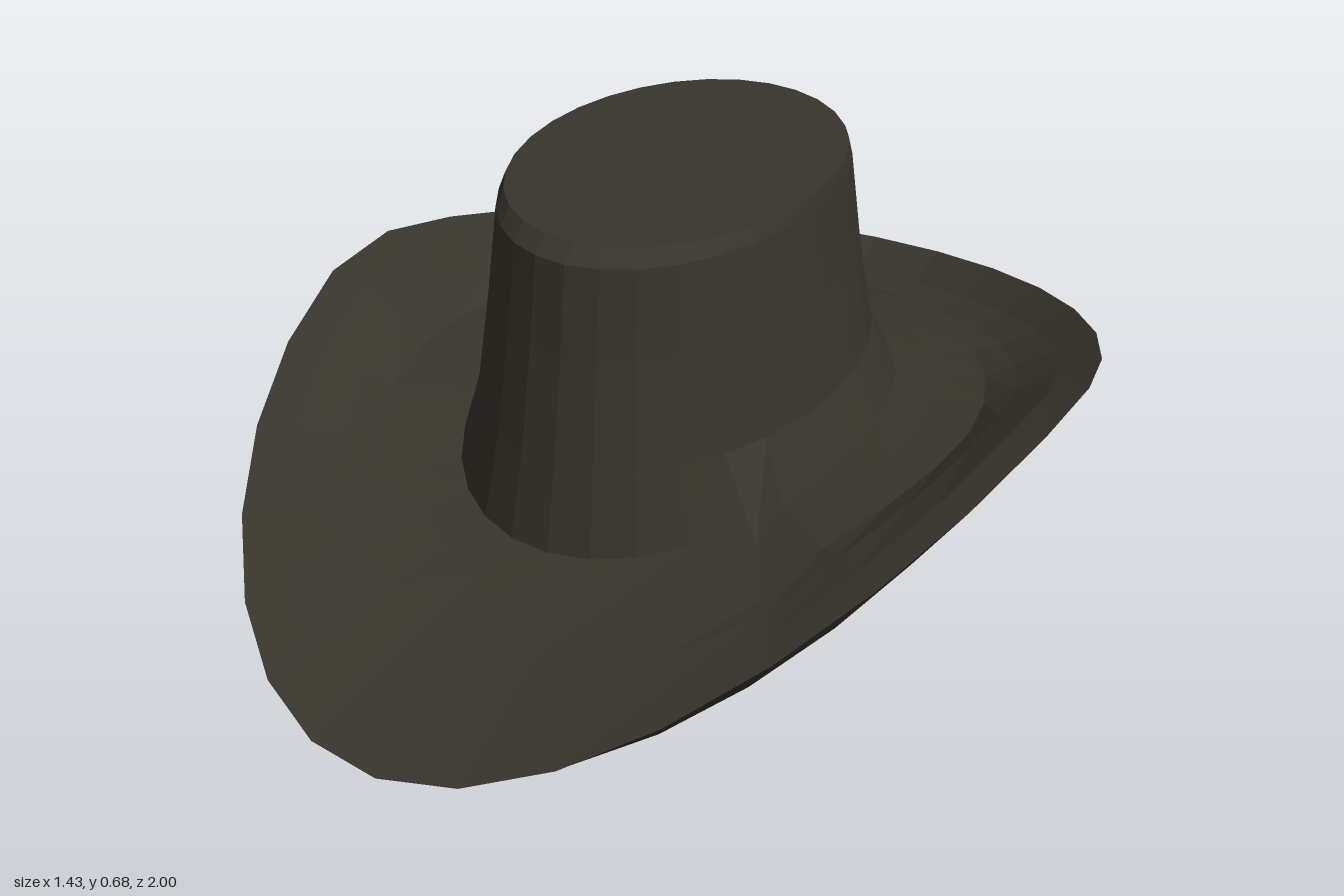
import * as THREE from 'three';

const SIDES = 30;
const felt = new THREE.MeshStandardMaterial({ color: 0x37352c, flatShading: true });
felt.name = 'dark felt';

const angle = (i) => (i / SIDES) * Math.PI * 2;

// Closed ring of points: half width, front and back reach, centre z,
// height rule y(u) with u = -1 back .. 1 front, and narrowing toward the front
function ring(w, front, back, cz, height, taper = 0) {
  return Array.from({ length: SIDES }, (_, i) => {
    const u = Math.cos(angle(i));
    const reach = u > 0 ? front - cz : cz - back;
    const x = Math.sin(angle(i)) * w * (1 - taper * Math.max(0, u));
    return new THREE.Vector3(x, height(u), cz + u * reach);
  });
}

// Height falling from the side value to the front and back values
const fall = (side, front, back, pf, pb) => (u) =>
  u > 0 ? side + (front - side) * u ** pf : side + (back - side) * (-u) ** pb;

const point = (x, y, z) => Array.from({ length: SIDES }, () => new THREE.Vector3(x, y, z));

// Skin through successive rings
function loft(name, rings) {
  const pos = [];
  const tri = (a, b, c) => {
    if (a.equals(b) || b.equals(c) || a.equals(c)) return;
    for (const p of [a, b, c]) pos.push(p.x, p.y, p.z);
  };
  for (let r = 0; r < rings.length - 1; r++) {
    for (let i = 0; i < SIDES; i++) {
      const j = (i + 1) % SIDES;
      const [a, b] = [rings[r], rings[r + 1]];
      tri(a[i], a[j], b[j]);
      tri(a[i], b[j], b[i]);
    }
  }
  const geo = new THREE.BufferGeometry();
  geo.setAttribute('position', new THREE.Float32BufferAttribute(pos, 3));
  geo.computeVertexNormals();
  const mesh = new THREE.Mesh(geo, felt);
  mesh.name = name;
  return mesh;
}

export function createModel() {
  const hat = new THREE.Group();
  hat.name = 'hat';

  // Key outlines
  const rim = ring(0.72, 1, -1, -0.1, fall(0.335, 0.065, 0.115, 1.6, 1.2), 0.13);
  const lower = ring(0.605, 0.88, -0.83, -0.07, fall(0.188, 0.002, 0.04, 1.5, 1.5), 0.1);
  const base = ring(0.36, 0.46, -0.58, -0.06, fall(0.205, 0.155, 0.165, 1.5, 1.5));
  const inner = ring(0.37, 0.48, -0.56, -0.05, fall(0.185, 0.075, 0.12, 1.5, 1.5));

  // Small fold at the left front of the crown base
  const fold = base[Math.round(SIDES * 0.125)];
  fold.x += 0.05;
  fold.z += 0.03;

  // Upper brim: flat beside the crown, then curling up to the rim;
  // an even slope at the front and a trough at the back
  const curl = [[1, 1], [0.8, 0.83], [0.6, 0.42], [0.45, 0.04], [0.2, 0], [0, 0]];
  hat.add(loft('brimTop', curl.map(([s, lift]) =>
    base.map((p, i) => {
      const u = Math.cos(angle(i));
      const q = p.clone().lerp(rim[i], s);
      const rise = THREE.MathUtils.lerp(lift, s, Math.max(0, u));
      const trough = 0.06 * Math.max(0, -u) * Math.sin(Math.PI * s ** 1.5);
      q.y = p.y + (rim[i].y - p.y) * rise - trough;
      return q;
    }))));

  // Bevelled outer edge and hollow underside
  hat.add(loft('brimEdge', [lower, rim]));
  hat.add(loft('underside', [point(-0.02, 0.37, 0), inner, lower]));

  // Crown wall, flaring toward the brim
  const flat = (y) => () => y;
  const edge = ring(0.275, 0.345, -0.415, -0.04, flat(0.68));
  hat.add(loft('crownWall', [
    base,
    ring(0.32, 0.43, -0.505, -0.045, flat(0.31)),
    ring(0.295, 0.4, -0.46, -0.04, flat(0.5)),
    ring(0.279, 0.38, -0.432, -0.04, flat(0.655)),
    edge,
  ]));

  // Crown top
  hat.add(loft('crownTop', [edge, point(0, 0.678, -0.04)]));
  return hat;
}
